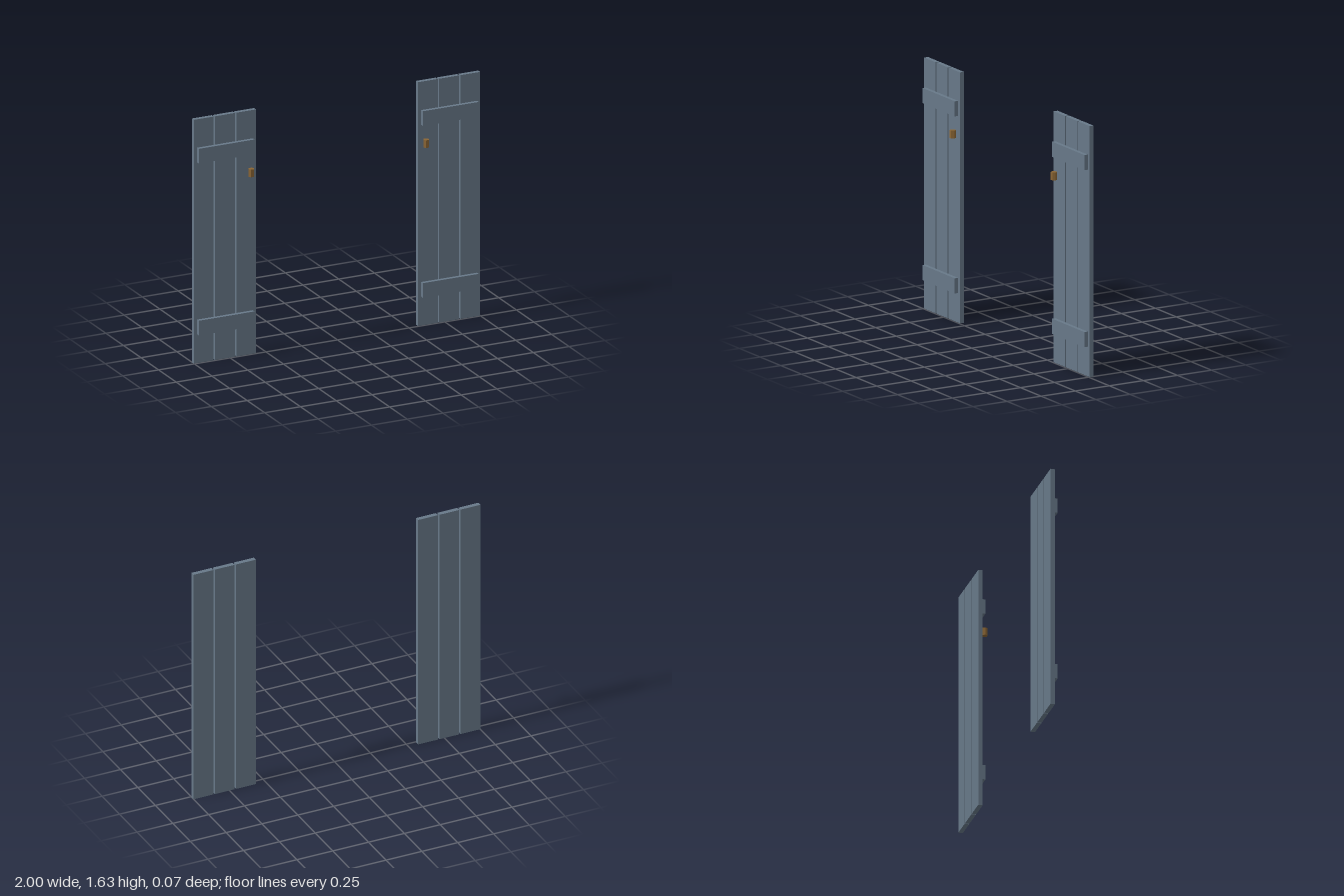
import * as THREE from 'three';

const HEIGHT = 1.626;
const PLANK = { width: 0.138, pitch: 0.148, depth: 0.029, z: -0.0215 };
const BATTEN = { width: 0.39, height: 0.098, depth: 0.025, z: 0.0055 };

export function createModel() {
  const slatePaint = new THREE.MeshStandardMaterial({ color: 0x677888 });
  const brownWood = new THREE.MeshStandardMaterial({ color: 0x8a6534 });
  slatePaint.name = 'slatePaint';
  brownWood.name = 'brownWood';

  const addPart = (parent, name, geometry, material, x, y, z) => {
    const mesh = new THREE.Mesh(geometry, material);
    mesh.name = name;
    mesh.position.set(x, y, z);
    parent.add(mesh);
  };

  const plankGeometry = new THREE.BoxGeometry(PLANK.width, HEIGHT, PLANK.depth);
  const battenGeometry = new THREE.BoxGeometry(BATTEN.width, BATTEN.height, BATTEN.depth);
  // six-sided peg with a flat face to the front
  const pegGeometry = new THREE.CylinderGeometry(0.02, 0.02, 0.051, 6)
    .rotateY(Math.PI / 6)
    .toNonIndexed();
  pegGeometry.computeVertexNormals();

  const model = new THREE.Group();
  model.name = 'shutterPair';

  // a mirrored pair of plank shutters
  for (const side of [-1, 1]) {
    const shutter = new THREE.Group();
    shutter.name = side > 0 ? 'leftShutter' : 'rightShutter';
    shutter.position.x = side * 0.783;

    // upright planks with narrow gaps
    for (const i of [-1, 0, 1]) {
      addPart(shutter, 'plank', plankGeometry, slatePaint, i * PLANK.pitch, HEIGHT / 2, PLANK.z);
    }
    // cross battens on the front
    addPart(shutter, 'lowerBatten', battenGeometry, slatePaint, 0, 0.241, BATTEN.z);
    addPart(shutter, 'upperBatten', battenGeometry, slatePaint, 0, 1.388, BATTEN.z);
    // peg near the inner edge
    addPart(shutter, 'peg', pegGeometry, brownWood, -side * 0.172, 1.221, 0.0187);

    model.add(shutter);
  }
  return model;
}
